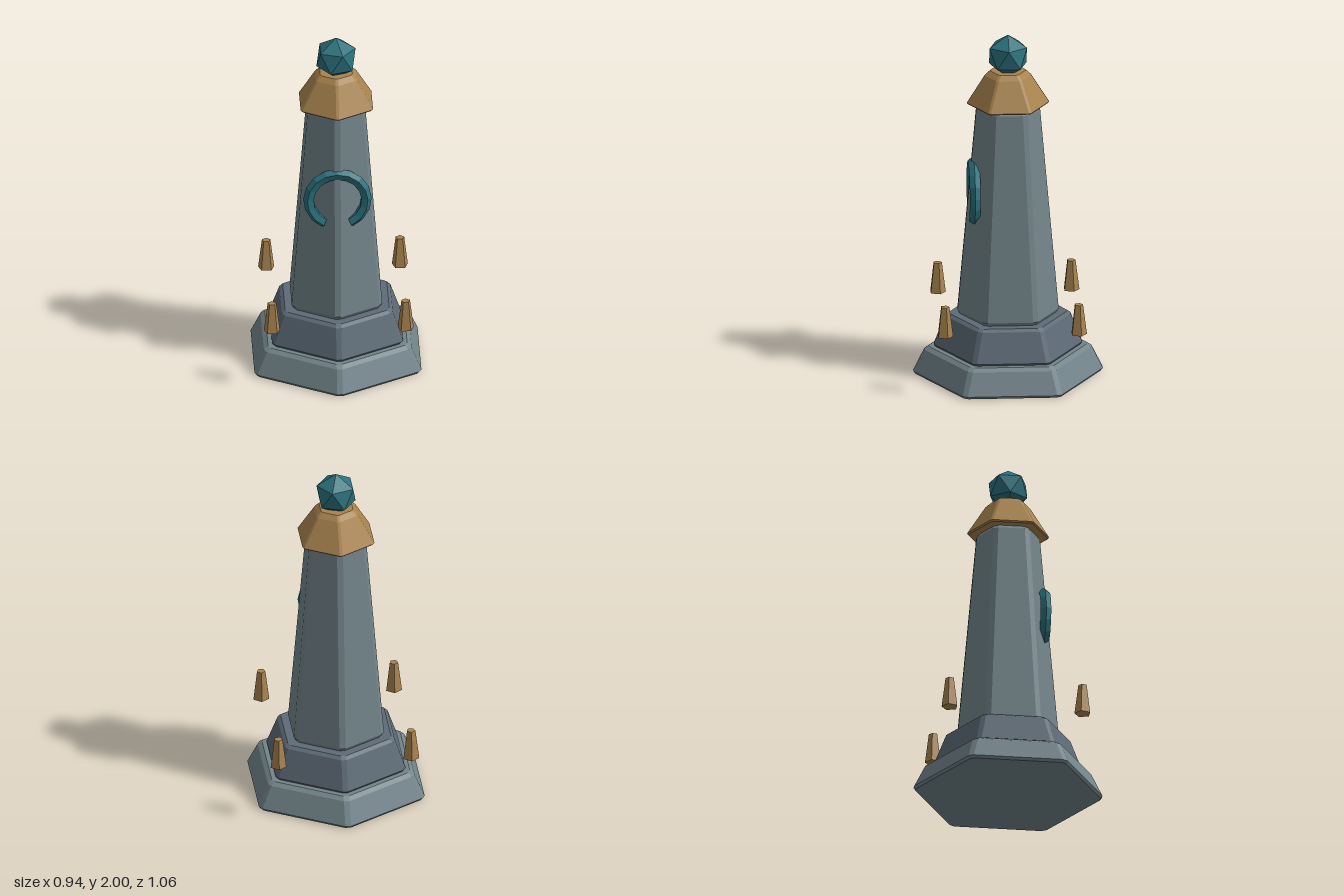
import * as THREE from 'three';

const material = (color) => new THREE.MeshStandardMaterial({ color, flatShading: true });

// Hexagonal loft with clipped corners pointing along z.
// profile: [height, distance from axis to flat side], from bottom to top; clip: half width of a cut corner
function hexLoft(profile, clip) {
  const positions = [], index = [], n = 12;
  for (const [y, apothem] of profile) {
    const r = apothem / Math.cos(Math.PI / 6) - clip * Math.tan(Math.PI / 6);
    for (let k = 0; k < 6; k++) {
      const a = Math.PI / 2 + k * Math.PI / 3, c = Math.cos(a), s = Math.sin(a);
      for (const t of [-clip, clip]) positions.push(r * c - t * s, y, r * s + t * c);
    }
  }
  for (let i = 0; i < profile.length - 1; i++) {
    for (let j = 0; j < n; j++) {
      const a = i * n + j, b = i * n + (j + 1) % n;
      index.push(a, a + n, b, b, a + n, b + n);
    }
  }
  const top = (profile.length - 1) * n;
  for (let j = 1; j < n - 1; j++) {
    index.push(0, j, j + 1, top, top + j + 1, top + j);
  }
  const indexed = new THREE.BufferGeometry();
  indexed.setAttribute('position', new THREE.Float32BufferAttribute(positions, 3));
  indexed.setIndex(index);
  const geometry = indexed.toNonIndexed();
  geometry.computeVertexNormals();
  return geometry;
}

export function createModel() {
  const group = new THREE.Group();
  const stone = material(0x73858b);
  const darkStone = material(0x5d6b77);
  const gold = material(0xa9844e);
  const teal = material(0x2b727d);

  function add(name, geometry, mat, x = 0, y = 0, z = 0) {
    const mesh = new THREE.Mesh(geometry, mat);
    mesh.name = name;
    mesh.position.set(x, y, z);
    group.add(mesh);
    return mesh;
  }

  // Stepped plinth, shaft and cap
  add('base', hexLoft([[0, 0.458], [0.015, 0.468], [0.142, 0.414], [0.16, 0.39]], 0.016), stone);
  add('plinth', hexLoft([[0.16, 0.36], [0.172, 0.367], [0.34, 0.311], [0.355, 0.292]], 0.015), darkStone);
  add('shaft', hexLoft([[0.355, 0.243], [0.375, 0.254], [1.572, 0.163], [1.592, 0.15]], 0.017), stone);
  add('cap', hexLoft([[1.592, 0.196], [1.6, 0.203], [1.762, 0.116], [1.79, 0.09]], 0.008), gold);

  // Gem standing on one vertex, sunk into the cap
  const gem = new THREE.IcosahedronGeometry(0.123, 0);
  gem.rotateZ(-Math.atan(2 / (1 + Math.sqrt(5))));
  add('gem', gem, teal, 0, 1.877, 0);

  // Open ring on the front, gap at the bottom
  const arc = Math.PI * 1.7;
  const ringMaterial = material(0x2b727d);
  ringMaterial.side = THREE.DoubleSide;
  const ring = new THREE.TorusGeometry(0.16, 0.032, 5, 14, arc);
  ring.rotateZ(Math.PI / 2 - arc / 2);
  add('frontRing', ring, ringMaterial, 0, 1.077, 0.193);

  // Four floating five-sided pegs
  const peg = new THREE.CylinderGeometry(0.025, 0.047, 0.175, 5);
  peg.rotateY(Math.PI);
  for (const [side, x] of [['left', 1], ['right', -1]]) {
    for (const [end, z] of [['Front', 1], ['Back', -1]]) {
      add(side + end + 'Peg', peg, gold, x * 0.375, 0.434, z * 0.375);
    }
  }
  return group;
}
